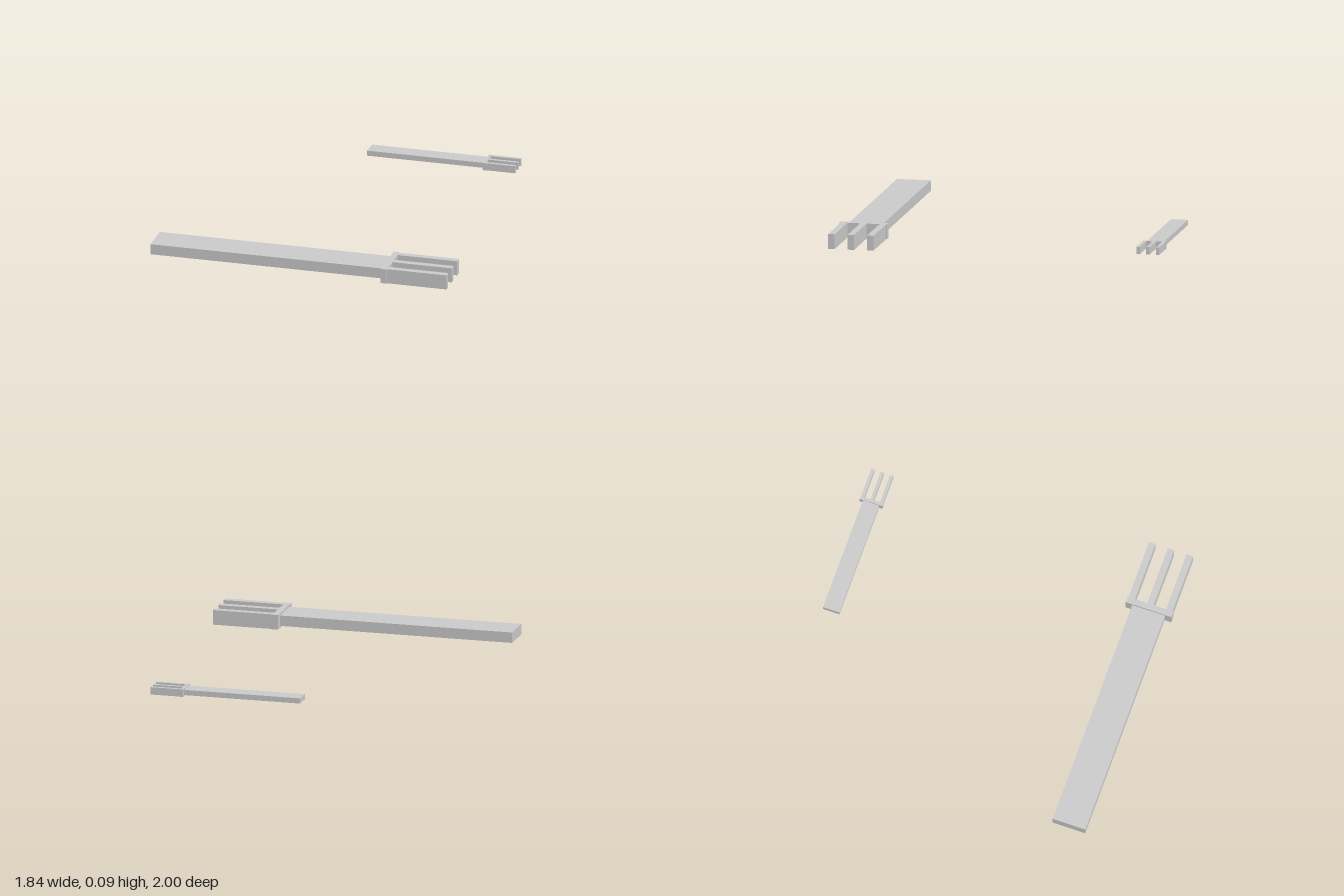
import * as THREE from 'three';

const material = new THREE.MeshStandardMaterial({ color: 0xcccccc, flatShading: true });

// Box spanning x0..x1, centred on y = 0 and the given z
function addBar(group, name, x0, x1, height, depth, z = 0) {
  const mesh = new THREE.Mesh(new THREE.BoxGeometry(x1 - x0, height, depth), material);
  mesh.position.set((x0 + x1) / 2, 0, z);
  mesh.name = name;
  group.add(mesh);
}

// Three-pronged fork, with its origin where the handle meets the crossbar
function createFork(name) {
  const fork = new THREE.Group();
  fork.name = name;
  addBar(fork, 'handle', -1.434, 0, 0.064, 0.206);
  addBar(fork, 'crossbar', 0, 0.037, 0.09, 0.288);
  for (const [i, z] of [-0.118, 0, 0.118].entries()) {
    addBar(fork, `tine${i + 1}`, 0.037, 0.405, 0.09, 0.04, z);
  }
  return fork;
}

export function createModel() {
  const model = new THREE.Group();
  model.name = 'forks';

  const large = createFork('largeFork');
  large.position.set(0.514, 0.045, 0.856);

  // Half-size copy at the back, level with the large fork's centre
  const small = createFork('smallFork');
  small.scale.setScalar(0.5);
  small.position.set(0.617, 0.045, -0.928);

  model.add(large, small);
  return model;
}
